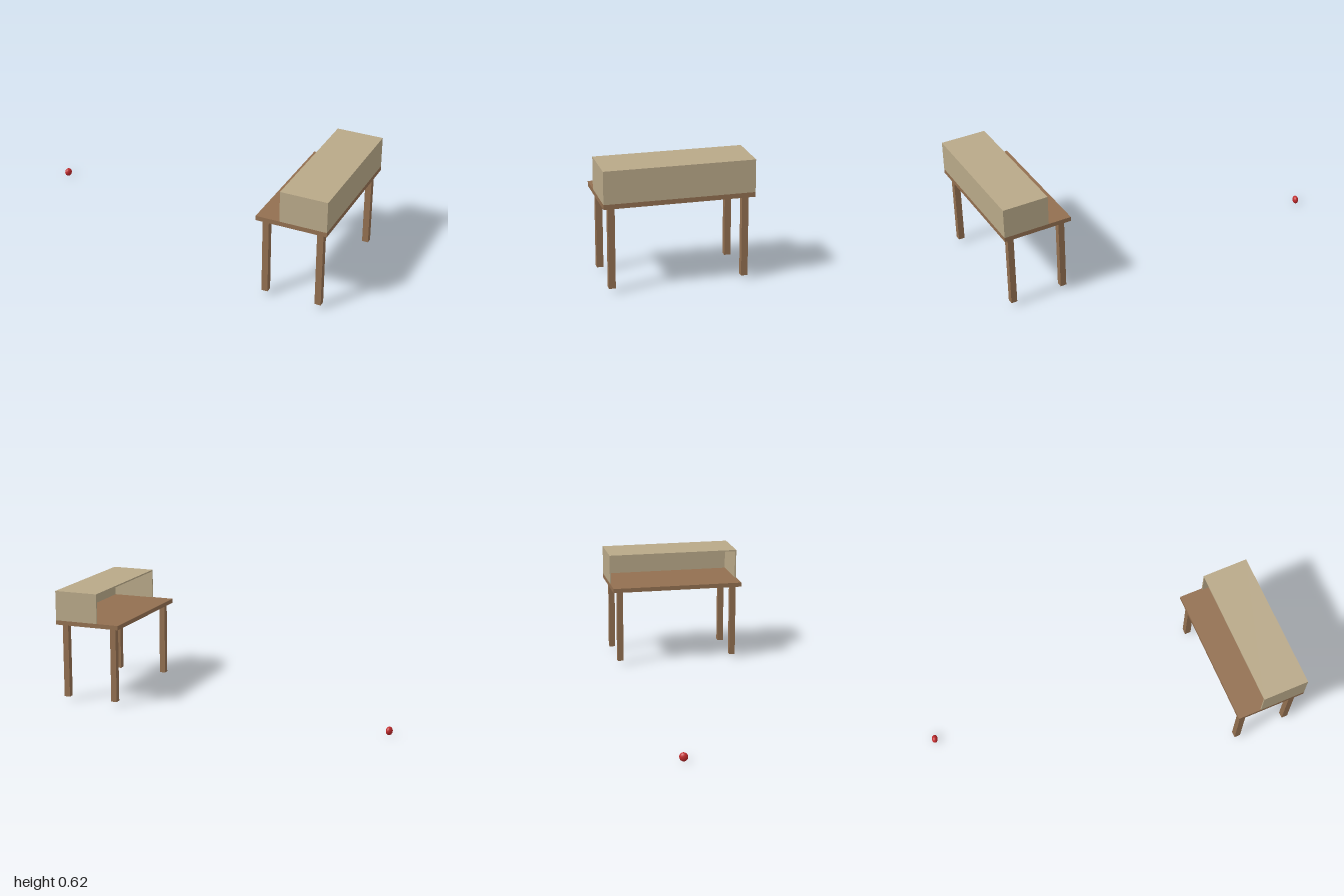
import * as THREE from 'three';

const WOOD = new THREE.MeshStandardMaterial({ color: 0x926f50 });
WOOD.name = 'brown wood';
const TAN = new THREE.MeshStandardMaterial({ color: 0xb8a888 });
TAN.name = 'tan panel';
const RED = new THREE.MeshStandardMaterial({ color: 0xc02a2c });
RED.name = 'red ball';

// Box given by its minimum and maximum corners
function box(name, material, [x0, y0, z0], [x1, y1, z1]) {
  const mesh = new THREE.Mesh(new THREE.BoxGeometry(x1 - x0, y1 - y0, z1 - z0), material);
  mesh.position.set((x0 + x1) / 2, (y0 + y1) / 2, (z0 + z1) / 2);
  mesh.name = name;
  return mesh;
}

export function createModel() {
  const model = new THREE.Group();
  model.name = 'deskAndBall';

  const W = 0.1865, L = 0.3735; // half width and half length of the table
  const underside = 0.437, top = 0.461, roof = 0.625;

  const desk = new THREE.Group();
  desk.name = 'desk';
  desk.position.set(0.704, 0, -0.002);
  desk.rotation.y = Math.PI / 10;
  model.add(desk);

  desk.add(box('tableTop', WOOD, [-W, underside, -L], [W, top, L]));

  // Four square legs
  const s = 0.0165;
  for (const [side, x] of [['Right', -0.1435], ['Left', 0.1435]]) {
    for (const [end, z] of [['back', -0.331], ['front', 0.331]]) {
      desk.add(box(`${end}${side}Leg`, WOOD, [x - s, 0.024, z - s], [x + s, underside, z + s]));
    }
  }

  // Thin cover on the table, open along one long side
  const t = 0.008, open = -0.0605;
  const cover = new THREE.Group();
  cover.name = 'cover';
  cover.add(
    box('coverRoof', TAN, [open, roof - t, -L], [W, roof, L]),
    box('coverLongWall', TAN, [W - t, top, -L + t], [W, roof - t, L - t]),
    box('coverBackEnd', TAN, [open, top, -L], [W, roof - t, -L + t]),
    box('coverFrontEnd', TAN, [open, top, L - t], [W, roof - t, L]),
  );
  desk.add(cover);

  // Slightly flattened ball lying away from the desk
  const ball = new THREE.Mesh(new THREE.SphereGeometry(1, 32, 20), RED);
  ball.name = 'ball';
  ball.scale.set(0.016, 0.0225, 0.0215);
  ball.position.set(-0.984, 0.0225, 0.238);
  model.add(ball);

  return model;
}
